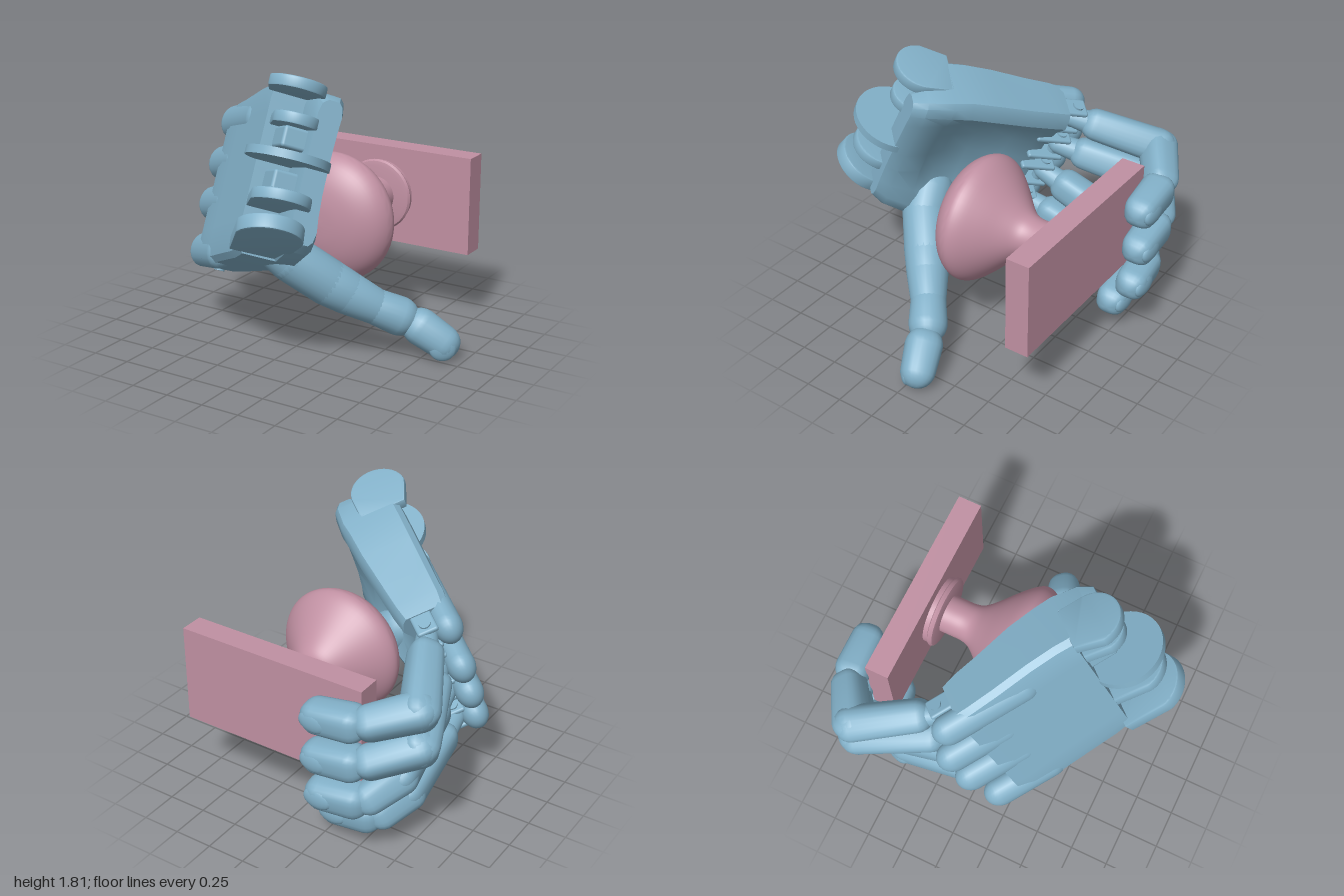
import * as THREE from 'three';
import { toCreasedNormals } from 'three/addons/utils/BufferGeometryUtils.js';
import { RoundedBoxGeometry } from 'three/addons/geometries/RoundedBoxGeometry.js';

const blue = new THREE.MeshStandardMaterial({ color: 0x82b0c8 });
const pink = new THREE.MeshStandardMaterial({ color: 0xc090a2 });
const vec = (p) => new THREE.Vector3(...p);
const UP = new THREE.Vector3(0, 1, 0);

function add(parent, name, geometry, material, x = 0, y = 0, z = 0) {
  const mesh = new THREE.Mesh(geometry, material);
  mesh.name = name;
  mesh.position.set(x, y, z);
  parent.add(mesh);
  return mesh;
}

// tapered bone with domed ends, its dome centres at a and b; power above 2 squares the section
function limb(parent, name, a, b, ra, rb, power = 2) {
  const start = vec(a), dir = vec(b).sub(start), len = dir.length();
  const pts = [];
  for (const [y, r, from] of [[0, ra, -1], [len, rb, 0]]) {
    for (let i = 0; i <= 6; i++) {
      const t = (from + i / 6) * (Math.PI / 2);
      pts.push(new THREE.Vector2(Math.max(0, r * Math.cos(t)), y + r * Math.sin(t)));
    }
  }
  const g = new THREE.LatheGeometry(pts, 24);
  const p = g.attributes.position;
  for (let i = 0; i < p.count; i++) {
    const x = p.getX(i), z = p.getZ(i), r = Math.hypot(x, z) || 1;
    const k = (Math.abs(x / r) ** power + Math.abs(z / r) ** power) ** (-1 / power);
    if (Number.isFinite(k)) p.setXYZ(i, x * k, p.getY(i), z * k);
  }
  const mesh = add(parent, name, toCreasedNormals(g, 0.9), blue, ...a);
  mesh.quaternion.setFromUnitVectors(UP, dir.normalize());
  return mesh;
}

// palm shell: flat back, hollow inside; x across, y towards the knuckles, z out of the back
function palmGeometry() {
  // [y, xLow, xHigh, back, low edge, high edge, hollow]
  const stations = [
    [-0.04, -0.46, 0.39, -0.1, -0.26, -0.25, -0.24],
    [0.04, -0.51, 0.43, -0.09, -0.29, -0.28, -0.265],
    [0.2, -0.58, 0.46, -0.09, -0.29, -0.29, -0.22],
    [0.21, -0.58, 0.46, 0.12, -0.29, -0.29, -0.215],
    [0.32, -0.61, 0.465, 0.12, -0.28, -0.28, -0.16],
    [0.5, -0.63, 0.45, 0.12, -0.25, -0.27, -0.11],
    [0.75, -0.66, 0.41, 0.12, -0.2, -0.24, -0.1],
    [0.92, -0.68, 0.39, 0.12, -0.16, -0.22, -0.1],
    [1.02, -0.68, 0.37, 0.11, -0.12, -0.2, -0.08],
  ];
  const s = [0, 0.03, 0.1, 0.2, 0.35, 0.5, 0.65, 0.8, 0.9, 0.97, 1];
  const n = s.length, ring = 2 * n, pos = [], idx = [];
  const round = (k) => [0.05, 0.015, 0][Math.min(k, n - 1 - k, 2)];
  for (const [y, lo, hi, top, e0, e1, mid] of stations) {
    for (let k = 0; k < n; k++) pos.push(lo + (hi - lo) * s[k], y, top - round(k));
    for (let k = n - 1; k >= 0; k--) {
      const w = Math.min(1, Math.max(0, (Math.abs(s[k] - 0.5) - 0.08) / 0.32));
      const edge = s[k] < 0.5 ? e0 : e1;
      pos.push(lo + (hi - lo) * s[k], y, mid + (edge - mid) * w * w + round(k) * 0.7);
    }
  }
  for (let i = 0; i < stations.length - 1; i++) {
    for (let j = 0; j < ring; j++) {
      const a = i * ring + j, b = i * ring + ((j + 1) % ring);
      idx.push(a, b, b + ring, a, b + ring, a + ring);
    }
  }
  const last = (stations.length - 1) * ring;
  for (let k = 0; k < n - 1; k++) {
    const q = [k, k + 1, ring - 2 - k, ring - 1 - k];
    idx.push(q[0], q[2], q[1], q[0], q[3], q[2]);
    idx.push(last + q[0], last + q[1], last + q[2], last + q[0], last + q[2], last + q[3]);
  }
  const g = new THREE.BufferGeometry();
  g.setAttribute('position', new THREE.Float32BufferAttribute(pos, 3));
  g.setIndex(idx);
  return toCreasedNormals(g, 0.6);
}

// upright ear, domed towards the wrist, lying in the y-z plane
function earGeometry(radius, width, tail) {
  const shape = new THREE.Shape();
  shape.moveTo(tail, radius * 0.65);
  shape.lineTo(0, radius);
  shape.absarc(0, 0, radius, Math.PI / 2, Math.PI * 1.5, false);
  shape.lineTo(tail, -radius);
  shape.closePath();
  const g = new THREE.ExtrudeGeometry(shape, { depth: width - 0.02, bevelSize: 0.01, bevelThickness: 0.01, bevelSegments: 2, curveSegments: 16 });
  g.translate(0, 0, -(width - 0.02) / 2);
  // shape x -> y, shape y -> z, depth -> x
  g.applyMatrix4(new THREE.Matrix4().makeBasis(UP, new THREE.Vector3(0, 0, 1), new THREE.Vector3(1, 0, 0)));
  return toCreasedNormals(g, 0.6);
}

function buildPalm() {
  const palm = new THREE.Group();
  palm.name = 'palm';
  add(palm, 'palmShell', palmGeometry(), blue);

  // wrist hinge
  for (const x of [-0.13, 0.13]) {
    add(palm, 'wristBlock', new RoundedBoxGeometry(0.13, 0.24, 0.2, 2, 0.02), blue, x, 0.15, -0.05);
  }
  // ears as [across, along, out, radius, width, tail, tilt]
  const ears = [
    [-0.44, -0.04, 0.02, 0.19, 0.09, 0.28, 0.32],
    [-0.24, -0.01, -0.01, 0.17, 0.07, 0.25, 0.12],
    [0.23, 0.05, -0.01, 0.13, 0.07, 0.2, 0],
    [0.425, 0.05, 0.03, 0.165, 0.07, 0.16, 0],
  ];
  for (const [x, y, z, r, w, tail, tilt] of ears) {
    add(palm, 'wristEar', earGeometry(r, w, tail), blue, x, y, z).rotation.z = tilt;
  }
  const disc = add(palm, 'wristDisc', new THREE.CylinderGeometry(0.25, 0.25, 0.05, 40), blue);
  disc.rotation.z = Math.PI / 2;

  // knuckle covers and hinges as [across, tip, cover length, out]
  [[-0.58, 1.14, 0.36, 0.035], [-0.27, 1.2, 0.36, 0.035], [0, 1.2, 0.36, 0.035], [0.265, 1.1, 0.5, 0.045]].forEach(([x, tip, length, out]) => {
    const cover = add(palm, 'knuckleCover', new THREE.CapsuleGeometry(0.11, length, 8, 20), blue, x, tip - length / 2, out);
    cover.scale.z = 0.8;
    const pin = add(palm, 'knucklePin', new THREE.CylinderGeometry(0.035, 0.035, 0.22, 14), blue, x, 1.1, -0.08);
    pin.rotation.z = Math.PI / 2;
    for (const side of [-1, 1]) {
      add(palm, 'knuckleProng', new RoundedBoxGeometry(0.035, 0.24, 0.13, 2, 0.015), blue, x + side * 0.08, 1.04, -0.08);
    }
  });

  const V = new THREE.Vector3(0, 0.9, -0.43).normalize();
  const U = new THREE.Vector3(-0.766, -0.276, -0.579).normalize();
  const N = V.clone().cross(U).normalize();
  palm.applyMatrix4(new THREE.Matrix4().makeBasis(V, U, N).setPosition(0.18, 1.33, 0.61));
  return palm;
}

function buildFinger(name, [knuckle, middle, end, tip], r) {
  const finger = new THREE.Group();
  finger.name = name;
  const mix = (a, b, t) => vec(a).lerp(vec(b), t).toArray();
  limb(finger, 'knuckleTongue', knuckle, mix(knuckle, middle, 0.4), r * 0.6, r * 0.8);
  limb(finger, 'lowerBone', mix(knuckle, middle, 0.28), middle, r * 0.95, r * 1.05, 3);
  limb(finger, 'middleBone', middle, mix(middle, end, 0.85), r * 1.05, r * 0.95, 3);
  limb(finger, 'joint', mix(middle, end, 0.8), mix(end, tip, 0.2), r * 0.8, r * 0.75);
  limb(finger, 'fingertip', mix(end, tip, 0.22), tip, r, r * 0.94, 3);
  const nail = add(finger, 'nail', new THREE.SphereGeometry(1, 18, 12), blue, tip[0] - 0.02, tip[1], tip[2] - r * 0.7);
  nail.scale.set(0.1, r * 0.65, r * 0.3);
  return finger;
}

function buildThumb() {
  const thumb = new THREE.Group();
  thumb.name = 'thumb';
  const path = [
    [-0.01, 0.77, 0.49, 0.15], [0.1, 0.66, 0.45, 0.145], [0.27, 0.5, 0.31, 0.145],
    [0.36, 0.43, 0.24, 0.135], [0.5, 0.33, 0.13, 0.112], [0.62, 0.265, 0.045, 0.122],
  ];
  for (let i = 0; i < path.length - 1; i++) {
    limb(thumb, 'thumbBone', path[i].slice(0, 3), path[i + 1].slice(0, 3), path[i][3], path[i + 1][3]);
  }
  limb(thumb, 'thumbJoint', [0.62, 0.26, 0.05], [0.74, 0.2, -0.01], 0.09, 0.09);
  limb(thumb, 'thumbTip', [0.74, 0.2, -0.01], [0.867, 0.11, -0.06], 0.117, 0.108, 2.4);
  const nail = add(thumb, 'thumbNail', new THREE.SphereGeometry(1, 20, 14), blue, 0.9, 0.1, 0.005);
  nail.scale.set(0.085, 0.085, 0.035);
  nail.rotation.y = 0.6;
  return thumb;
}

function buildKnob() {
  const knob = new THREE.Group();
  knob.name = 'doorKnob';
  add(knob, 'backPlate', new THREE.BoxGeometry(1.28, 0.64, 0.155), pink, 0.11, 0.803, -0.698);
  // knob profile as [distance along the axis, radius]
  const curve = new THREE.SplineCurve([
    [0.18, 0], [0.172, 0.13], [0.14, 0.26], [0.08, 0.36], [0, 0.41], [-0.07, 0.395], [-0.16, 0.32],
    [-0.27, 0.207], [-0.34, 0.147], [-0.4, 0.127], [-0.48, 0.125], [-0.56, 0.125],
  ].map(([z, r]) => new THREE.Vector2(r, z)));
  const grip = curve.getPoints(48).map((p) => new THREE.Vector2(Math.max(0, p.x), p.y)).reverse();
  const ring = [[0, -0.55], [0.2, -0.55], [0.227, -0.556], [0.237, -0.57], [0.232, -0.584], [0.222, -0.59], [0.222, -0.625], [0, -0.625]]
    .map(([r, z]) => new THREE.Vector2(r, z)).reverse();
  for (const [name, pts] of [['grip', grip], ['rosette', ring]]) {
    const g = toCreasedNormals(new THREE.LatheGeometry(pts, 56), 0.6);
    add(knob, name, g, pink, 0.115, 0.805, 0).rotation.x = Math.PI / 2;
  }
  return knob;
}

export function createModel() {
  const model = new THREE.Group();
  model.name = 'handOnDoorKnob';
  model.add(buildKnob(), buildPalm(), buildThumb());
  // knuckle, middle joint, end joint and tip of each finger
  const fingers = {
    indexFinger: [[-0.63, 0.48, 0.13], [-0.66, 0.3, -0.48], [-0.58, 0.225, -0.69], [-0.32, 0.21, -0.725]],
    middleFinger: [[-0.63, 0.75, 0.02], [-0.68, 0.5, -0.6], [-0.57, 0.41, -0.82], [-0.31, 0.4, -0.86]],
    ringFinger: [[-0.63, 0.99, -0.09], [-0.86, 0.82, -0.68], [-0.59, 0.71, -0.87], [-0.31, 0.68, -0.89]],
    littleFinger: [[-0.61, 1.24, -0.2], [-0.86, 1.07, -0.69], [-0.59, 0.98, -0.87], [-0.31, 0.955, -0.89]],
  };
  for (const [name, joints] of Object.entries(fingers)) model.add(buildFinger(name, joints, 0.107));
  return model;
}
